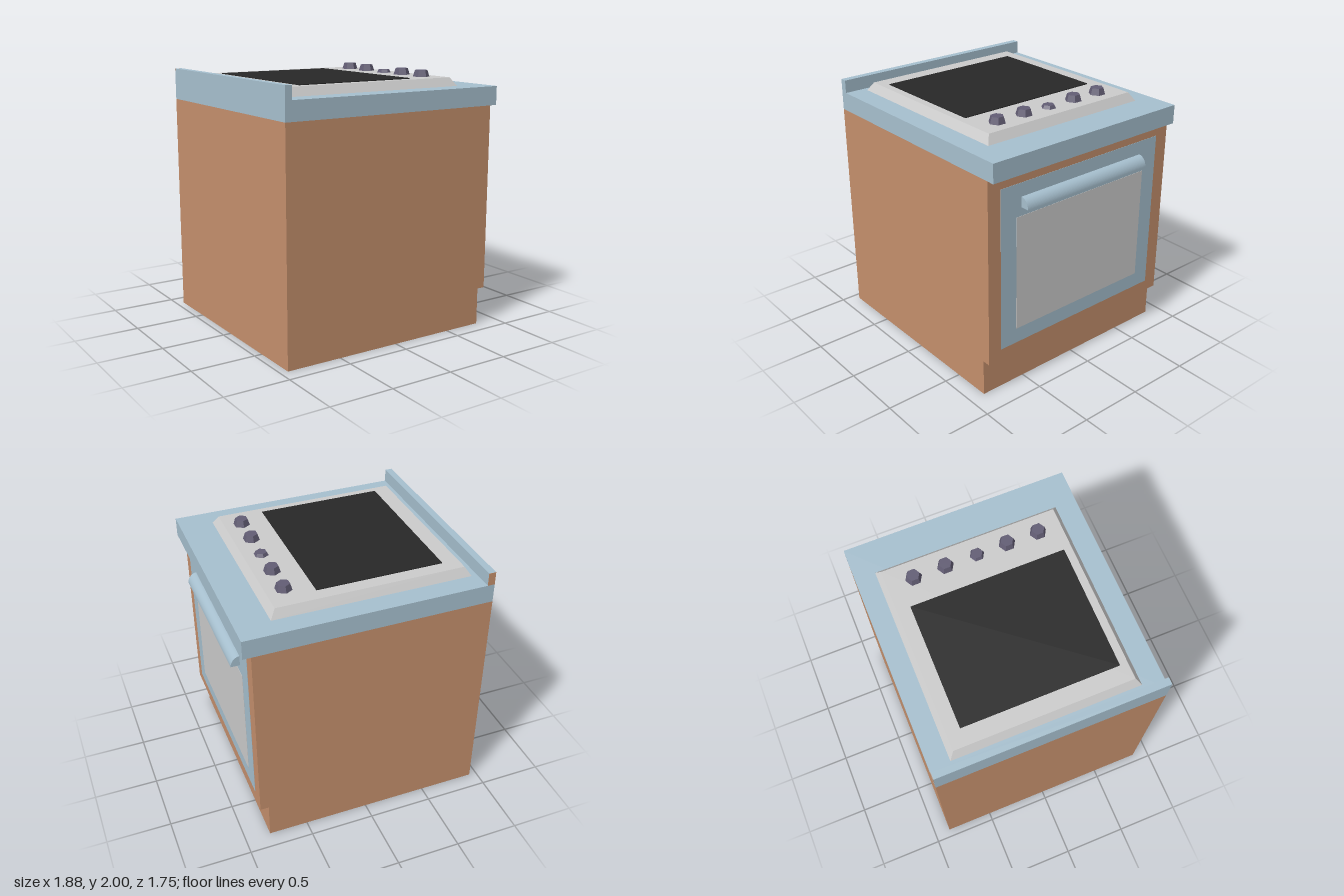
import * as THREE from 'three';

const paint = (color) => new THREE.MeshStandardMaterial({ color, flatShading: true });
const wood = paint(0xc48f6c);
const blue = paint(0xa6bfce);
const grey = paint(0xcccccc);
const black = paint(0x272727);
const plum = paint(0x625d74);

export function createModel() {
  const model = new THREE.Group();

  const add = (name, geometry, material) => {
    const mesh = new THREE.Mesh(geometry, material);
    mesh.name = name;
    model.add(mesh);
    return mesh;
  };
  // Box given by its low and high corners
  const box = (name, material, [x0, y0, z0], [x1, y1, z1]) =>
    add(name, new THREE.BoxGeometry(x1 - x0, y1 - y0, z1 - z0), material)
      .position.set((x0 + x1) / 2, (y0 + y1) / 2, (z0 + z1) / 2);
  // Side profile (x, y) extruded along z, centred
  const extrude = (name, material, shape, depth) =>
    add(name, new THREE.ExtrudeGeometry(shape, { depth, bevelEnabled: false, curveSegments: 8 })
      .translate(0, 0, -depth / 2), material);

  // Cabinet with recessed toe kick
  const side = [[-0.94, 0], [0.805, 0], [0.805, 0.29], [0.87, 0.29], [0.87, 1.74], [-0.94, 1.74]];
  extrude('cabinet', wood, new THREE.Shape(side.map(([x, y]) => new THREE.Vector2(x, y))), 1.75);

  // Worktop and rear upstand with a bare wooden end
  box('worktop', blue, [-0.94, 1.74, -0.875], [0.93, 1.885, 0.875]);
  box('upstand', blue, [-0.94, 1.885, -0.873], [-0.885, 1.985, 0.875]);
  box('upstandEnd', wood, [-0.94, 1.885, -0.875], [-0.885, 1.985, -0.873]);

  // Oven door and window, nearly flush with the cabinet
  box('ovenDoor', blue, [0.86, 0.38, -0.76], [0.872, 1.65, 0.765]);
  box('ovenWindow', grey, [0.86, 0.5, -0.625], [0.874, 1.4, 0.625]);

  // Quarter-round handle
  const grip = new THREE.Shape();
  grip.moveTo(0.868, 1.465);
  grip.lineTo(0.94, 1.465);
  grip.absellipse(0.868, 1.465, 0.072, 0.08, 0, Math.PI / 2, false);
  grip.closePath();
  const handle = extrude('doorHandle', blue, grip, 1.165);
  handle.material = new THREE.MeshStandardMaterial({ color: 0xa6bfce });

  // Hob: a box whose upper corners are drawn inwards
  const hob = new THREE.BoxGeometry(1.515, 0.065, 1.43);
  const p = hob.attributes.position;
  for (let i = 0; i < p.count; i++) {
    if (p.getY(i) > 0) {
      p.setX(i, p.getX(i) - Math.sign(p.getX(i)) * 0.042);
      p.setZ(i, p.getZ(i) - Math.sign(p.getZ(i)) * 0.04);
    }
  }
  add('hob', hob, grey).position.set(-0.083, 1.9175, -0.005);
  box('glassPlate', black, [-0.67, 1.945, -0.58], [0.295, 1.956, 0.61]);

  // Hexagonal knobs, the middle one smaller
  [-0.48, -0.235, 0.01, 0.245, 0.49].forEach((z, i) => {
    const [radius, height] = i === 2 ? [0.056, 0.025] : [0.064, 0.05];
    add('knob', new THREE.CylinderGeometry(radius * 0.76, radius, height, 6), plum)
      .position.set(0.5, 1.95 + height / 2, z);
  });

  return model;
}
